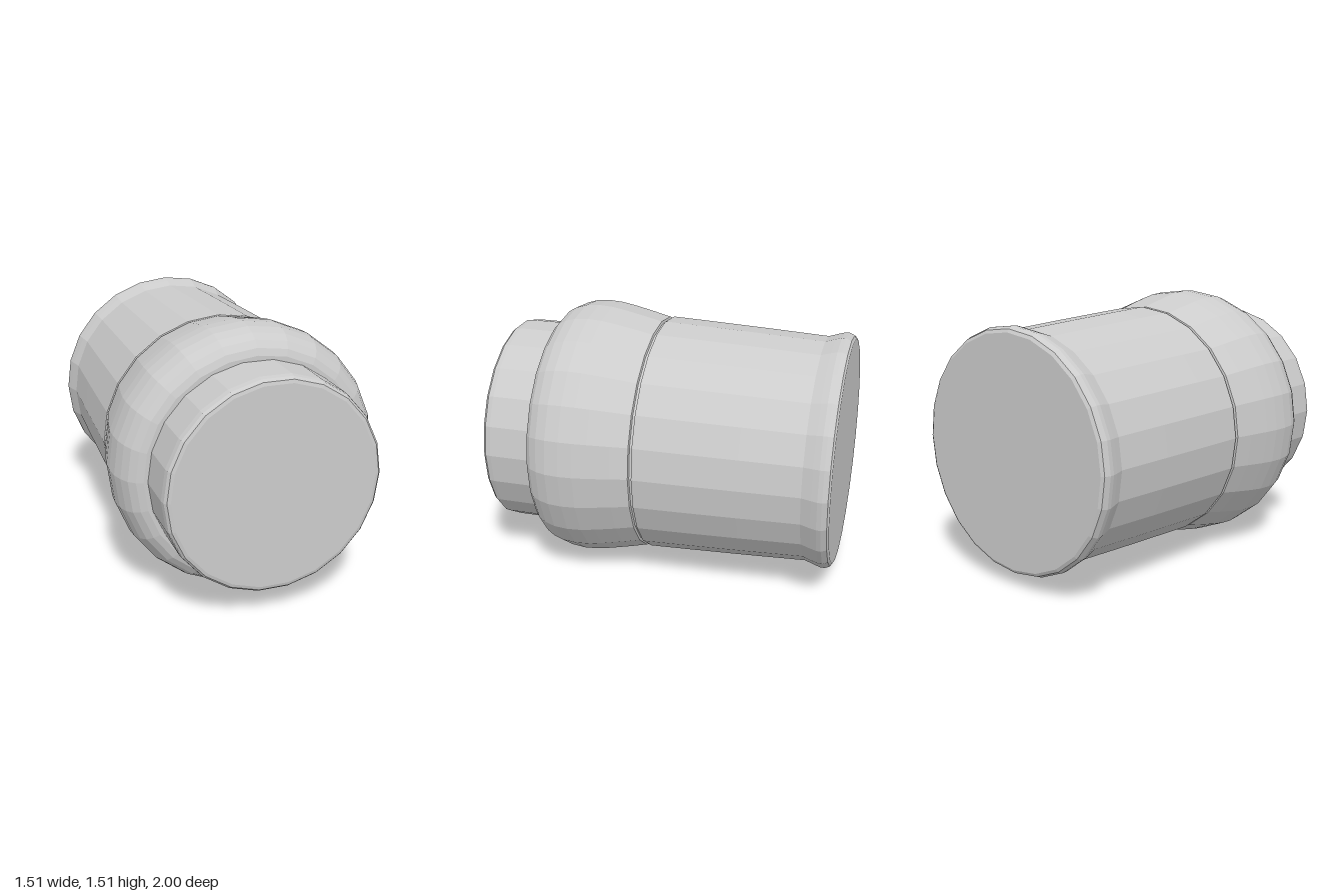
import * as THREE from 'three';

const CENTRE_Y = 0.757;
const material = new THREE.MeshStandardMaterial({ color: 0xcccccc, flatShading: true });

// Turned part: profile of [radius, z] pairs running from back to front
function turned(name, profile, sides, phase = 0) {
  const points = profile.map(([r, z]) => new THREE.Vector2(r, z));
  const geometry = new THREE.LatheGeometry(points, sides, phase);
  geometry.rotateX(Math.PI / 2);
  const mesh = new THREE.Mesh(geometry, material);
  mesh.name = name;
  mesh.position.y = CENTRE_Y;
  return mesh;
}

export function createModel() {
  const group = new THREE.Group();
  group.name = 'turnedBarrel';

  // Rounded lip closing the back end
  group.add(turned('backRim', [
    [0, -1], [0.65, -1], [0.668, -0.99], [0.681, -0.96], [0.68, -0.935],
    [0.67, -0.9], [0.652, -0.845],
  ], 24));

  // Slightly tapered barrel, ending at the groove
  group.add(turned('barrel', [
    [0.652, -0.845], [0.668, -0.5], [0.682, -0.15], [0.69, 0.07], [0.688, 0.08],
    [0.674, 0.084], [0.674, 0.096],
  ], 24));

  // Bulging shoulder, rounded over towards the front
  group.add(turned('shoulder', [
    [0.674, 0.096], [0.688, 0.1], [0.712, 0.2], [0.738, 0.32], [0.752, 0.4], [0.757, 0.48],
    [0.75, 0.56], [0.731, 0.62], [0.704, 0.667], [0.668, 0.698], [0.63, 0.712], [0.58, 0.712],
  ], 24));

  // Narrow front plug with a softened edge
  group.add(turned('frontPlug', [
    [0.607, 0.7], [0.607, 0.95], [0.602, 0.98], [0.589, 0.995], [0.57, 1], [0, 1],
  ], 22, Math.PI / 22));

  return group;
}
